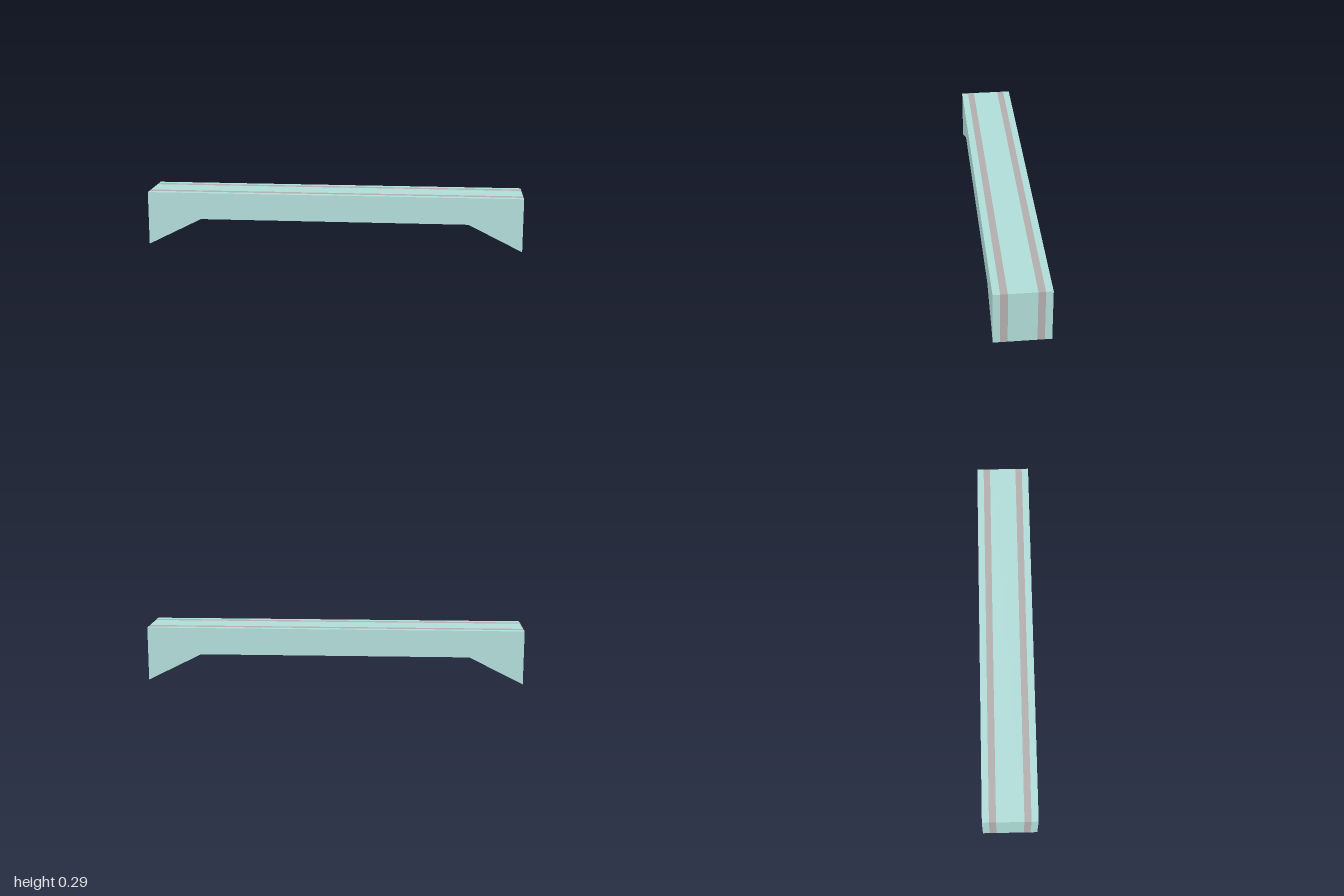
import * as THREE from 'three';

const U = 1 / 7; // module: the beam is 14 units long, 2 high, 2 deep

// Side outline, counter-clockwise: flat top, raised underside, sloped haunches
const outline = [[-7, 0], [-5, 1], [5, 1], [7, 0], [7, 2], [-7, 2]]
  .map(([x, y]) => new THREE.Vector2(x * U, y * U));

// Ribbon running round the outline between two depths
function band(z0, z1) {
  const pos = [];
  outline.forEach((a, i) => {
    const b = outline[(i + 1) % outline.length];
    pos.push(a.x, a.y, z0, b.x, b.y, z0, b.x, b.y, z1);
    pos.push(a.x, a.y, z0, b.x, b.y, z1, a.x, a.y, z1);
  });
  const geo = new THREE.BufferGeometry();
  geo.setAttribute('position', new THREE.Float32BufferAttribute(pos, 3));
  geo.computeVertexNormals();
  return geo;
}

export function createModel() {
  const group = new THREE.Group();
  const body = new THREE.MeshStandardMaterial({ color: 0xb0dcd8 });
  const stripe = new THREE.MeshStandardMaterial({ color: 0xb3aeae });

  const add = (name, geo, mat) => {
    const mesh = new THREE.Mesh(geo, mat);
    mesh.name = name;
    group.add(mesh);
    return mesh;
  };

  // Wall around the beam, with two flush stripes
  add('centreBand', band(-0.5 * U, 0.5 * U), body);
  for (const [side, s] of [['front', 1], ['back', -1]]) {
    const strip = (from, to) => band(Math.min(s * from, s * to) * U, Math.max(s * from, s * to) * U);
    add(side + 'Stripe', strip(0.5, 0.75), stripe);
    add(side + 'EdgeBand', strip(0.75, 1), body);

    // Flat side face; the outline is symmetric, so the back is a half turn
    const face = add(side + 'Face', new THREE.ShapeGeometry(new THREE.Shape(outline)), body);
    face.position.z = s * U;
    if (s < 0) face.rotation.y = Math.PI;
  }
  return group;
}
